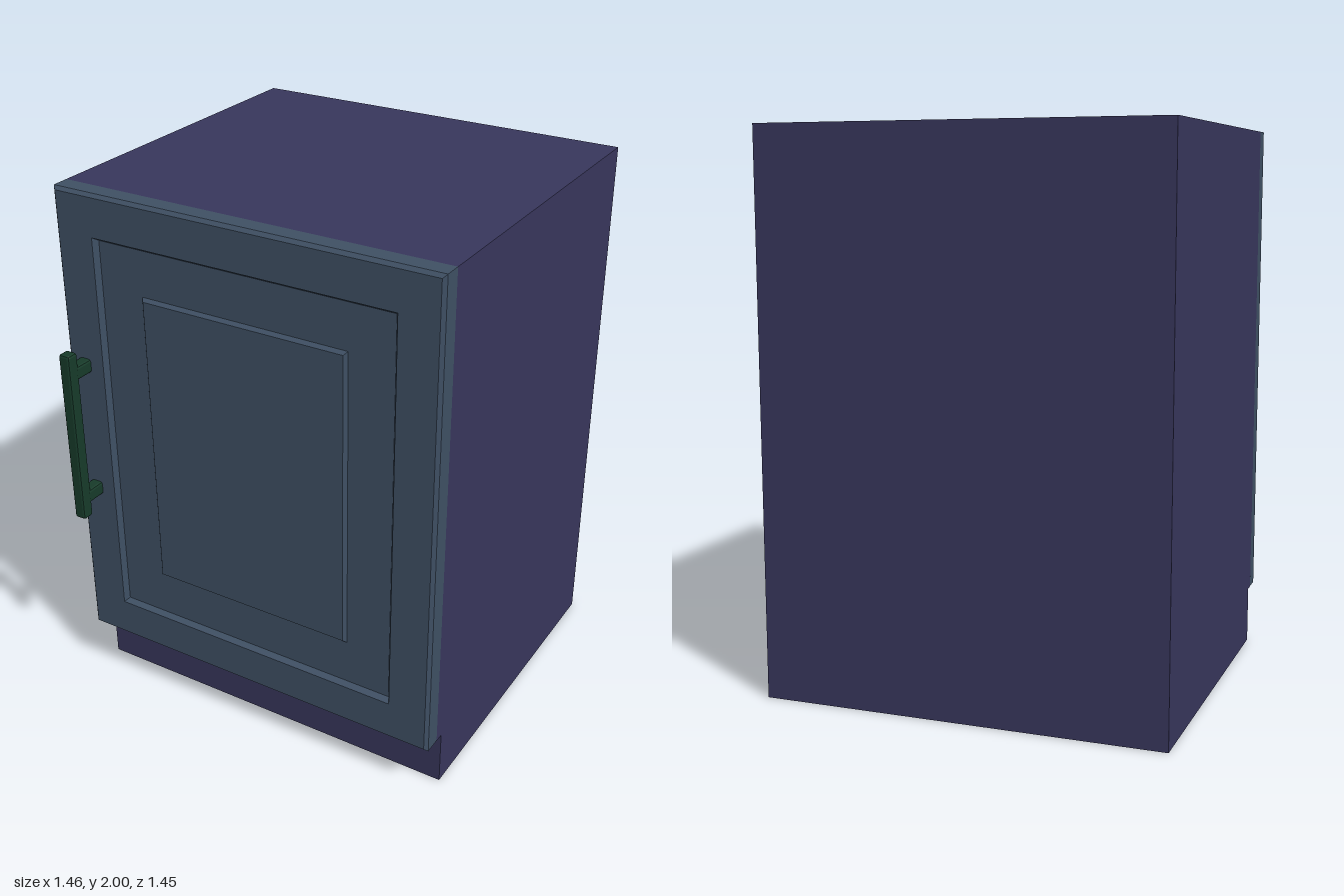
import * as THREE from 'three';
import { RoundedBoxGeometry } from 'three/addons/geometries/RoundedBoxGeometry.js';

const material = (color) => new THREE.MeshStandardMaterial({ color, flatShading: true });

function addMesh(parent, name, geometry, mat, x = 0, y = 0, z = 0) {
  const mesh = new THREE.Mesh(geometry, mat);
  mesh.name = name;
  mesh.position.set(x, y, z);
  parent.add(mesh);
  return mesh;
}

// Skin nested rectangles [halfWidth, bottom, top, z], closing both ends
function loftRectangles(rects) {
  const loops = rects.map(([w, b, t, z]) => [[-w, b, z], [w, b, z], [w, t, z], [-w, t, z]]);
  const positions = [];
  const quad = (a, b, c, d) => positions.push(...a, ...b, ...c, ...a, ...c, ...d);
  for (let i = 0; i < loops.length - 1; i++) {
    const p = loops[i], q = loops[i + 1];
    for (let k = 0; k < 4; k++) {
      const n = (k + 1) % 4;
      quad(p[k], p[n], q[n], q[k]);
    }
  }
  const first = loops[0], last = loops[loops.length - 1];
  quad(first[3], first[2], first[1], first[0]);
  quad(...last);
  const geometry = new THREE.BufferGeometry();
  geometry.setAttribute('position', new THREE.Float32BufferAttribute(positions, 3));
  geometry.computeVertexNormals();
  return geometry;
}

export function createModel() {
  const cabinet = new THREE.Group();
  cabinet.name = 'baseCabinet';
  const bodyMat = material(0x38365c);
  const doorMat = material(0x3f5064);
  const handleMat = material(0x173b2a);

  // Carcass: side profile with a toe-kick notch, extruded across the width
  const profile = new THREE.Shape([
    [-0.725, 0], [0.505, 0], [0.505, 0.21], [0.54, 0.21], [0.54, 2], [-0.725, 2],
  ].map(([z, y]) => new THREE.Vector2(-z, y)));
  const carcass = new THREE.ExtrudeGeometry(profile, { depth: 1.46, bevelEnabled: false });
  carcass.translate(0, 0, -0.73).rotateY(Math.PI / 2);
  addMesh(cabinet, 'carcass', carcass, bodyMat);

  // Door: chamfered frame, recessed field and raised centre panel
  addMesh(cabinet, 'door', loftRectangles([
    [0.73, 0.212, 2, 0.54],
    [0.73, 0.212, 2, 0.603],
    [0.718, 0.224, 1.988, 0.615],
    [0.577, 0.365, 1.847, 0.615],
    [0.564, 0.378, 1.834, 0.595],
    [0.397, 0.547, 1.667, 0.595],
    [0.386, 0.558, 1.656, 0.608],
  ]), doorMat);

  // Bar handle on two posts
  const handle = new THREE.Group();
  handle.name = 'handle';
  handle.position.set(-0.655, 1.108, 0);
  cabinet.add(handle);
  addMesh(handle, 'handleBar', new RoundedBoxGeometry(0.046, 0.66, 0.046, 1, 0.009), handleMat, 0, 0, 0.702);
  for (const side of [-1, 1]) {
    addMesh(handle, 'handlePost', new RoundedBoxGeometry(0.046, 0.05, 0.1, 1, 0.009), handleMat, 0, side * 0.25, 0.645);
  }
  return cabinet;
}
